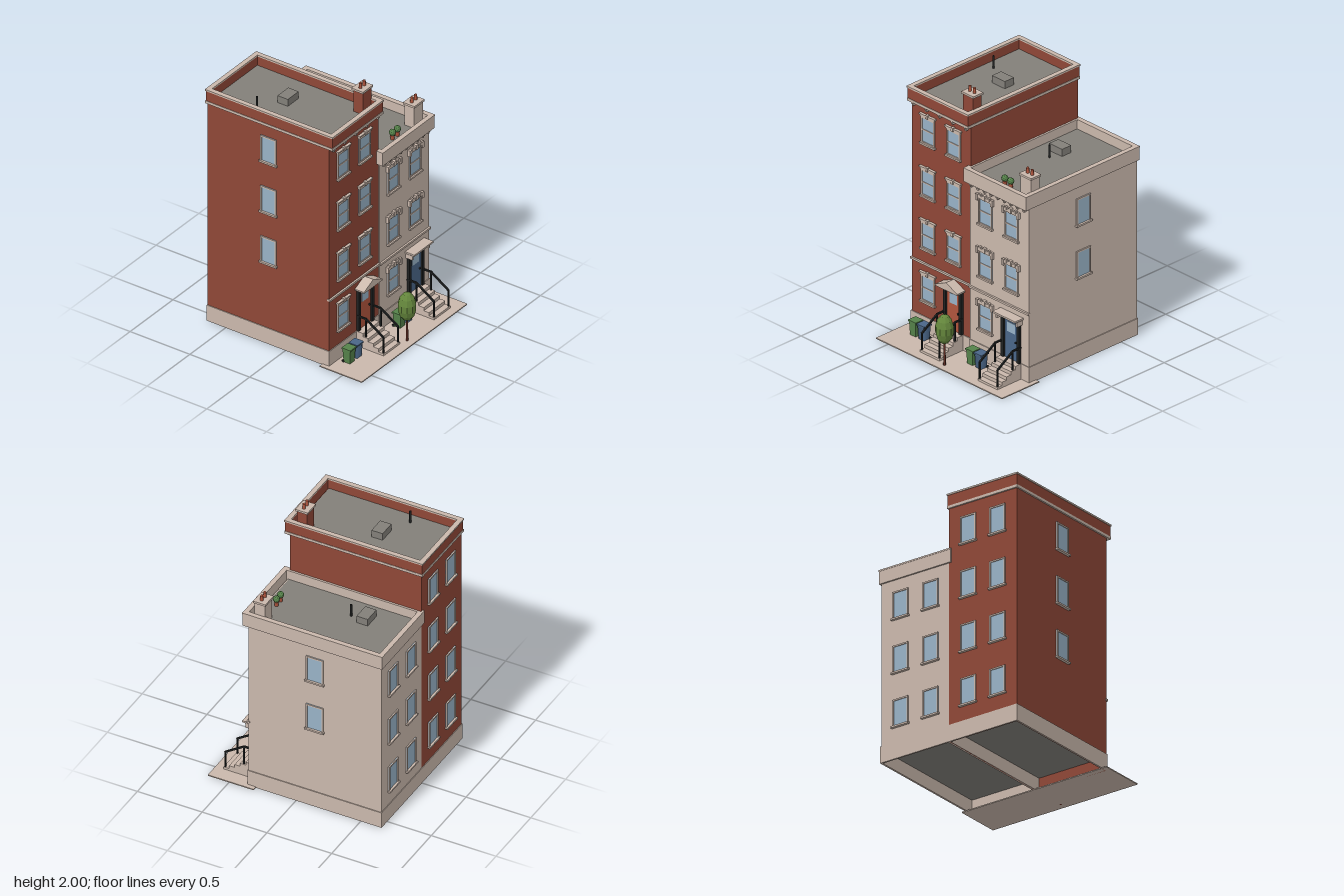
import * as THREE from 'three';

const mat = (name, color) => {
  const m = new THREE.MeshStandardMaterial({ color });
  m.name = name;
  return m;
};
const stone = mat('stone', 0xcab8ac), brick = mat('brick', 0x8f4737), roofGrey = mat('roof grey', 0x827f79);
const glass = mat('glass', 0x98b2c6), black = mat('black', 0x1f2121), clay = mat('orange clay', 0xb0553d);
const blue = mat('blue', 0x4a6688), green = mat('green', 0x55824a), leaf = mat('leaf', 0x64863c), bark = mat('bark', 0x5f2c22);
leaf.flatShading = green.flatShading = true;

const add = (parent, name, geo, material, x = 0, y = 0, z = 0) => {
  const m = new THREE.Mesh(geo, material);
  m.name = name;
  m.position.set(x, y, z);
  parent.add(m);
  return m;
};
const group = (parent, name, x = 0, y = 0, z = 0, ry = 0) => {
  const g = new THREE.Group();
  g.name = name;
  g.position.set(x, y, z);
  g.rotation.y = ry;
  parent.add(g);
  return g;
};
// box given by its limits
const box = (p, name, m, x0, x1, y0, y1, z0, z1) =>
  add(p, name, new THREE.BoxGeometry(x1 - x0, y1 - y0, z1 - z0), m, (x0 + x1) / 2, (y0 + y1) / 2, (z0 + z1) / 2);
const cyl = (p, name, m, r0, r1, h, x, y, z, n = 10) =>
  add(p, name, new THREE.CylinderGeometry(r1, r0, h, n), m, x, y + h / 2, z);
// rectangular tube of walls, t thick, open at top and bottom
const ring = (p, name, m, x0, x1, y0, y1, z0, z1, t) => {
  const rect = (C, a, b, c, d) => {
    const s = new C();
    s.moveTo(a, c); s.lineTo(b, c); s.lineTo(b, d); s.lineTo(a, d); s.closePath();
    return s;
  };
  const s = rect(THREE.Shape, x0, x1, -z1, -z0);
  s.holes.push(rect(THREE.Path, x0 + t, x1 - t, -z1 + t, -z0 - t));
  const g = new THREE.ExtrudeGeometry(s, { depth: y1 - y0, bevelEnabled: false });
  g.rotateX(-Math.PI / 2);
  return add(p, name, g, m, 0, y0, 0);
};
// straight square bar between two points in the yz plane
const bar = (p, name, m, x, y0, z0, y1, z1, w) => {
  const b = add(p, name, new THREE.BoxGeometry(w, w, Math.hypot(y1 - y0, z1 - z0) + w * 0.6), m, x, (y0 + y1) / 2, (z0 + z1) / 2);
  b.rotation.x = -Math.atan2(y1 - y0, z1 - z0);
};

// window facing +z with the sill at y = 0; style: plain, keystone or hood
function addWindow(parent, style, x, y, z, ry = 0) {
  const g = group(parent, 'window', x, y, z, ry);
  const w = 0.066, top = 0.212, t = 0.011;
  box(g, 'pane', glass, -w, w, 0.01, top, 0, 0.004);
  for (const s of [-1, 1]) box(g, 'frameSide', stone, s * (w - t / 2) - t / 2, s * (w - t / 2) + t / 2, 0.01, top, 0, 0.01);
  box(g, 'frameTop', stone, -w, w, top - t, top, 0, 0.01);
  box(g, 'sill', stone, -0.074, 0.074, 0, 0.013, 0, 0.02);
  if (style === 'plain') return;
  box(g, 'sashBar', stone, -w, w, 0.108, 0.117, 0, 0.008);
  box(g, 'frameBottom', stone, -w, w, 0.012, 0.022, 0, 0.008);
  if (style === 'keystone') {
    box(g, 'lintel', stone, -0.07, 0.07, 0.212, 0.226, 0, 0.014);
    box(g, 'lintelCap', stone, -0.077, 0.077, 0.226, 0.236, 0, 0.02);
    box(g, 'keystone', stone, -0.01, 0.01, 0.215, 0.243, 0, 0.024);
  } else {
    box(g, 'hood', stone, -0.075, 0.075, 0.21, 0.233, 0, 0.018);
    for (const s of [-1, 1]) {
      box(g, 'hoodEnd', stone, s * 0.073 - 0.009, s * 0.073 + 0.009, 0.19, 0.238, 0, 0.022);
      box(g, 'hoodTooth', stone, s * 0.045 - 0.008, s * 0.045 + 0.008, 0.22, 0.244, 0, 0.021);
    }
    box(g, 'keystone', stone, -0.012, 0.012, 0.212, 0.248, 0, 0.024);
  }
}

// door, surround, stoop and railings; z = 0 is the wall face
function addEntrance(parent, doorMat, x, z) {
  const g = group(parent, 'entrance', x, 0, z);
  box(g, 'door', doorMat, -0.066, 0.066, 0.125, 0.435, 0, 0.006);
  box(g, 'doorPane', glass, -0.037, 0.037, 0.33, 0.405, 0.006, 0.009);
  add(g, 'knob', new THREE.SphereGeometry(0.008, 8, 6), black, 0.048, 0.27, 0.01);
  for (const s of [-1, 1]) box(g, 'doorPost', black, s * 0.077 - 0.013, s * 0.077 + 0.013, 0.125, 0.457, 0, 0.02);
  box(g, 'doorHead', black, -0.09, 0.09, 0.432, 0.457, 0, 0.02);
  for (let i = 0; i < 5; i++) box(g, 'step', stone, -0.095, 0.095, i * 0.025, i * 0.025 + 0.025, 0, 0.231 - i * 0.043);
  for (const s of [-0.086, 0.086]) {
    box(g, 'railPost', black, s - 0.005, s + 0.005, 0.02, 0.15, 0.217, 0.227);
    box(g, 'railPost', black, s - 0.005, s + 0.005, 0.1, 0.245, 0.072, 0.082);
    bar(g, 'handrail', black, s, 0.245, 0.077, 0.15, 0.222, 0.012);
    bar(g, 'handrail', black, s, 0.245, 0, 0.245, 0.077, 0.012);
  }
  return g;
}

function addBin(parent, m, x, z) {
  const g = group(parent, 'bin', x, 0.008, z);
  const body = cyl(g, 'binBody', m, 0.038, 0.045, 0.105, 0, 0.004, 0, 4);
  body.geometry.rotateY(Math.PI / 4);
  box(g, 'binLid', m, -0.037, 0.037, 0.107, 0.118, -0.037, 0.037);
  for (const s of [-1, 1]) {
    const wheel = cyl(g, 'wheel', black, 0.01, 0.01, 0.008, s * 0.026, 0.006, -0.03);
    wheel.rotation.z = Math.PI / 2;
  }
}

function addChimney(parent, m, x, z, y0, y1) {
  const g = group(parent, 'chimney', x, 0, z);
  box(g, 'stack', m, -0.05, 0.05, y0, y1, -0.04, 0.04);
  box(g, 'stackCap', stone, -0.059, 0.059, y1 - 0.006, y1 + 0.01, -0.048, 0.048);
  for (const s of [-0.022, 0.022]) cyl(g, 'chimneyPot', clay, 0.012, 0.01, 0.042, s, y1 + 0.008, 0);
}

// walls, plinth, floor, roof deck, roof fittings and windows of one house
function addHouse(root, o) {
  const g = group(root, o.name);
  const { x0, x1, zf, roof } = o, zb = -0.655;
  ring(g, 'walls', o.wall, x0, x1, 0, roof, zb, zf, 0.008);
  ring(g, 'plinth', stone, x0 - o.left, x1 + o.right, 0, 0.125, zb - 0.005, zf + 0.006, 0.01);
  box(g, 'floor', roofGrey, x0 + 0.005, x1 - 0.005, 0.1, 0.11, zb + 0.005, zf - 0.005);
  box(g, 'roofDeck', roofGrey, x0 + 0.003, x1 - 0.003, roof - 0.02, roof, zb + 0.003, zf - 0.003);
  box(g, 'beltCourse', stone, x0 - o.left, x1 + o.right, 0.525, 0.54, zf - 0.01, zf + 0.014);
  const [hx, hz] = o.hatch, [px, pz] = o.pipe;
  box(g, 'roofHatch', roofGrey, hx - 0.063, hx + 0.063, roof, roof + 0.055, hz - 0.043, hz + 0.043);
  cyl(g, 'ventPipe', black, 0.008, 0.008, 0.095, px, roof, pz);
  for (let i = 0; i < o.brackets; i++) {
    const bx = x0 + 0.031 + i * (x1 - x0 - 0.062) / (o.brackets - 1);
    box(g, 'bracket', stone, bx - 0.006, bx + 0.006, o.eave - 0.03, o.eave, zf, zf + 0.024);
    box(g, 'bracketTop', stone, bx - 0.006, bx + 0.006, o.eave - 0.014, o.eave, zf, zf + 0.032);
  }
  for (let r = 0; r < o.floors; r++) {
    const y = 0.232 + r * 0.4045;
    o.columns.forEach((x, c) => {
      if (r > 0 || c === 0) addWindow(g, o.style, x, y, zf);
      addWindow(g, 'plain', x, y, zb, Math.PI);
    });
    if (r > 0) addWindow(g, 'plain', o.side > 0 ? x1 : x0, y, -0.143, o.side * Math.PI / 2);
  }
  return g;
}

export function createModel() {
  const root = new THREE.Group();
  root.name = 'townhouses';
  box(root, 'pavement', stone, -0.615, 0.615, 0, 0.008, 0.31, 0.663);

  // tall brick house
  const a = addHouse(root, {
    name: 'brickHouse', x0: -0.576, x1: 0, zf: 0.36, wall: brick, roof: 1.775, eave: 1.747, floors: 4, brackets: 5,
    columns: [-0.415, -0.165], style: 'keystone', side: -1, left: 0.006, right: 0, hatch: [-0.268, -0.203], pipe: [-0.475, -0.315],
  });
  ring(a, 'corniceBand', stone, -0.588, 0.008, 1.747, 1.767, -0.667, 0.397, 0.034);
  ring(a, 'parapet', brick, -0.585, 0.005, 1.767, 1.848, -0.664, 0.394, 0.029);
  ring(a, 'coping', stone, -0.59, 0.01, 1.846, 1.858, -0.669, 0.399, 0.036);
  addChimney(a, brick, -0.072, 0.278, 1.77, 1.953);
  const ea = addEntrance(a, clay, -0.165, 0.36);
  const gable = new THREE.Shape([[-0.108, 0.457], [0.108, 0.457], [0.108, 0.468], [0, 0.518], [-0.108, 0.468]].map(p => new THREE.Vector2(...p)));
  add(ea, 'pediment', new THREE.ExtrudeGeometry(gable, { depth: 0.076, bevelEnabled: false }), stone);

  // lower stone house
  const b = addHouse(root, {
    name: 'stoneHouse', x0: 0, x1: 0.576, zf: 0.37, wall: stone, roof: 1.375, eave: 1.342, floors: 3, brackets: 9,
    columns: [0.155, 0.41], style: 'hood', side: 1, left: 0, right: 0.006, hatch: [0.168, -0.322], pipe: [0.18, -0.21],
  });
  ring(b, 'parapet', stone, -0.02, 0.588, 1.342, 1.437, -0.667, 0.41, 0.033);
  ring(b, 'coping', stone, -0.021, 0.59, 1.437, 1.448, -0.669, 0.412, 0.036);
  addChimney(b, stone, 0.507, 0.293, 1.37, 1.548);
  const eb = addEntrance(b, blue, 0.41, 0.37);
  box(eb, 'hoodSlab', stone, -0.111, 0.111, 0.467, 0.48, 0, 0.078);
  box(eb, 'hoodBase', stone, -0.1, 0.1, 0.455, 0.468, 0, 0.062);
  for (const s of [-1, 1]) box(eb, 'hoodBracket', stone, s * 0.097 - 0.007, s * 0.097 + 0.007, 0.425, 0.46, 0, 0.055);
  for (const x of [0.26, 0.318]) {
    cyl(b, 'plantPot', clay, 0.013, 0.017, 0.035, x, 1.375, 0.292, 8);
    add(b, 'shrub', new THREE.IcosahedronGeometry(0.025, 1), green, x, 1.43, 0.292);
  }

  // bins and street tree
  addBin(root, green, -0.456, 0.442);
  addBin(root, blue, -0.373, 0.442);
  addBin(root, green, 0.114, 0.454);
  addBin(root, blue, 0.196, 0.454);
  const tree = group(root, 'tree', -0.006, 0, 0.605);
  cyl(tree, 'trunk', bark, 0.009, 0.007, 0.22, 0, 0, 0, 8);
  const crown = add(tree, 'crown', new THREE.SphereGeometry(0.066, 10, 7), leaf, 0, 0.284, 0);
  crown.scale.y = 1.68;
  return root;
}
